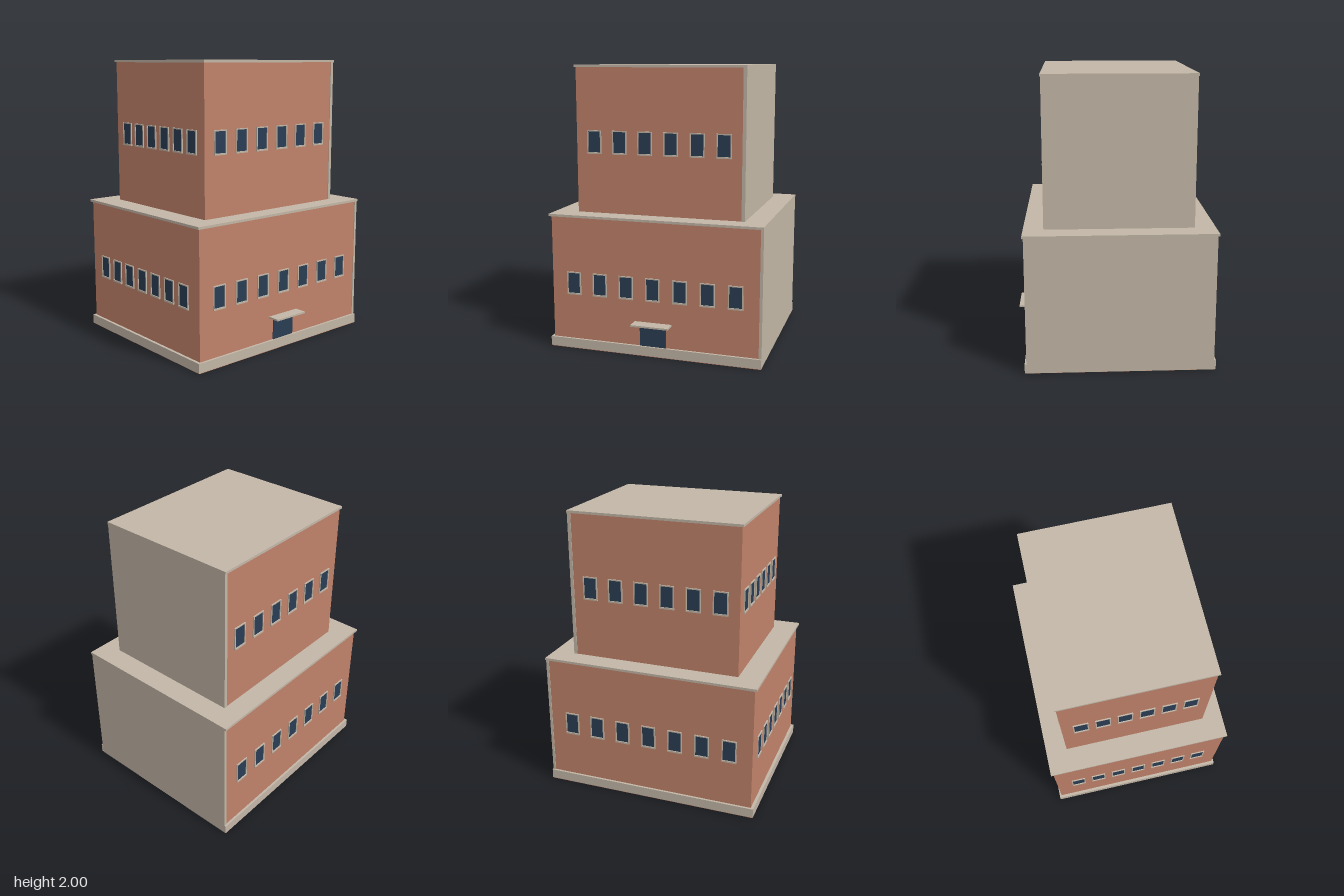
import * as THREE from 'three';

const brick = new THREE.MeshStandardMaterial({ name: 'brick', color: 0xc0826a });
const stone = new THREE.MeshStandardMaterial({ name: 'stone', color: 0xc2b6a6 });
const glass = new THREE.MeshStandardMaterial({ name: 'darkGlass', color: 0x2a3d54 });

// Box given by its min and max on each axis
function block(name, material, [x0, x1], [y0, y1], [z0, z1]) {
  const mesh = new THREE.Mesh(new THREE.BoxGeometry(x1 - x0, y1 - y0, z1 - z0), material);
  mesh.position.set((x0 + x1) / 2, (y0 + y1) / 2, (z0 + z1) / 2);
  mesh.name = name;
  return mesh;
}

// Framed window with its back on z = 0, centred on x, standing on y = 0
function makeWindow() {
  const g = new THREE.Group();
  g.name = 'window';
  const w = 0.052, h = 0.165, p = 0.044;
  g.add(
    block('pane', glass, [-p, p], [0.01, h - 0.008], [0, 0.003]),
    block('sill', stone, [-w, w], [0, 0.012], [0, 0.01]),
    block('lintel', stone, [-w, w], [h - 0.008, h], [0, 0.008]),
    block('leftJamb', stone, [p, w], [0.012, h - 0.008], [0, 0.008]),
    block('rightJamb', stone, [-w, -p], [0.012, h - 0.008], [0, 0.008]),
  );
  return g;
}

// Evenly spaced row of windows, centred on its own origin
function windowRow(name, count, spacing) {
  const row = new THREE.Group();
  row.name = name;
  for (let i = 0; i < count; i++) {
    const win = makeWindow();
    win.position.x = (i - (count - 1) / 2) * spacing;
    row.add(win);
  }
  return row;
}

// One storey block: brick body, blank stone wall on +x, cornice, three window rows
function makeTier(t) {
  const g = new THREE.Group();
  g.name = t.name;
  const [x0, x1] = t.x, [y0, y1] = t.y, [z0, z1] = t.z;
  const o = t.overhang, roof = y1 - 0.017;
  g.add(
    block('brickBody', brick, [x0, x1], [y0, roof], [z0, z1]),
    block('blankSideWall', stone, [x1, t.wallX], [y0 + 0.002, roof], [z0 - 0.004, z1 + 0.005]),
    block('cornice', stone, [x0 - o, t.wallX], [roof, y1], [z0 - o, z1 + o]),
  );
  const midX = t.rowX, midZ = (z0 + z1) / 2;
  const front = windowRow('frontWindows', t.count, t.spacing);
  front.position.set(midX, t.sillY, z1);
  const back = windowRow('backWindows', t.count, t.spacing);
  back.position.set(midX, t.sillY, z0);
  back.rotation.y = Math.PI;
  const side = windowRow('sideWindows', t.count, t.sideSpacing);
  side.position.set(x0, t.sillY, midZ);
  side.rotation.y = -Math.PI / 2;
  g.add(front, back, side);
  return g;
}

export function createModel() {
  const model = new THREE.Group();
  model.name = 'steppedBuilding';

  model.add(
    makeTier({
      name: 'lowerTier', x: [-0.751, 0.744], y: [0, 0.97], z: [-0.671, 0.6], wallX: 0.764,
      overhang: 0.015, count: 7, spacing: 0.195, sideSpacing: 0.157, rowX: -0.003, sillY: 0.395,
    }),
    makeTier({
      name: 'upperTier', x: [-0.6, 0.585], y: [0.965, 2], z: [-0.538, 0.472], wallX: 0.609,
      overhang: 0.01, count: 6, spacing: 0.186, sideSpacing: 0.15, rowX: -0.004, sillY: 1.387,
    }),
  );

  // Plinth strips along the front, back and left
  const plinth = new THREE.Group();
  plinth.name = 'plinth';
  const py = [0.004, 0.07];
  plinth.add(
    block('frontPlinth', stone, [-0.771, 0.765], py, [0.6, 0.617]),
    block('backPlinth', stone, [-0.771, 0.765], py, [-0.687, -0.671]),
    block('sidePlinth', stone, [-0.771, -0.751], py, [-0.671, 0.6]),
  );
  // Brick underside reaching the edge of the plinth
  model.add(plinth, block('baseSlab', brick, [-0.768, 0.762], [0, 0.004], [-0.685, 0.615]));

  // Entrance
  const entrance = new THREE.Group();
  entrance.name = 'entrance';
  entrance.add(
    block('door', glass, [-0.097, 0.093], [0.07, 0.218], [0.6, 0.605]),
    block('canopy', stone, [-0.136, 0.133], [0.231, 0.243], [0.6, 0.687]),
  );
  model.add(entrance);

  return model;
}
